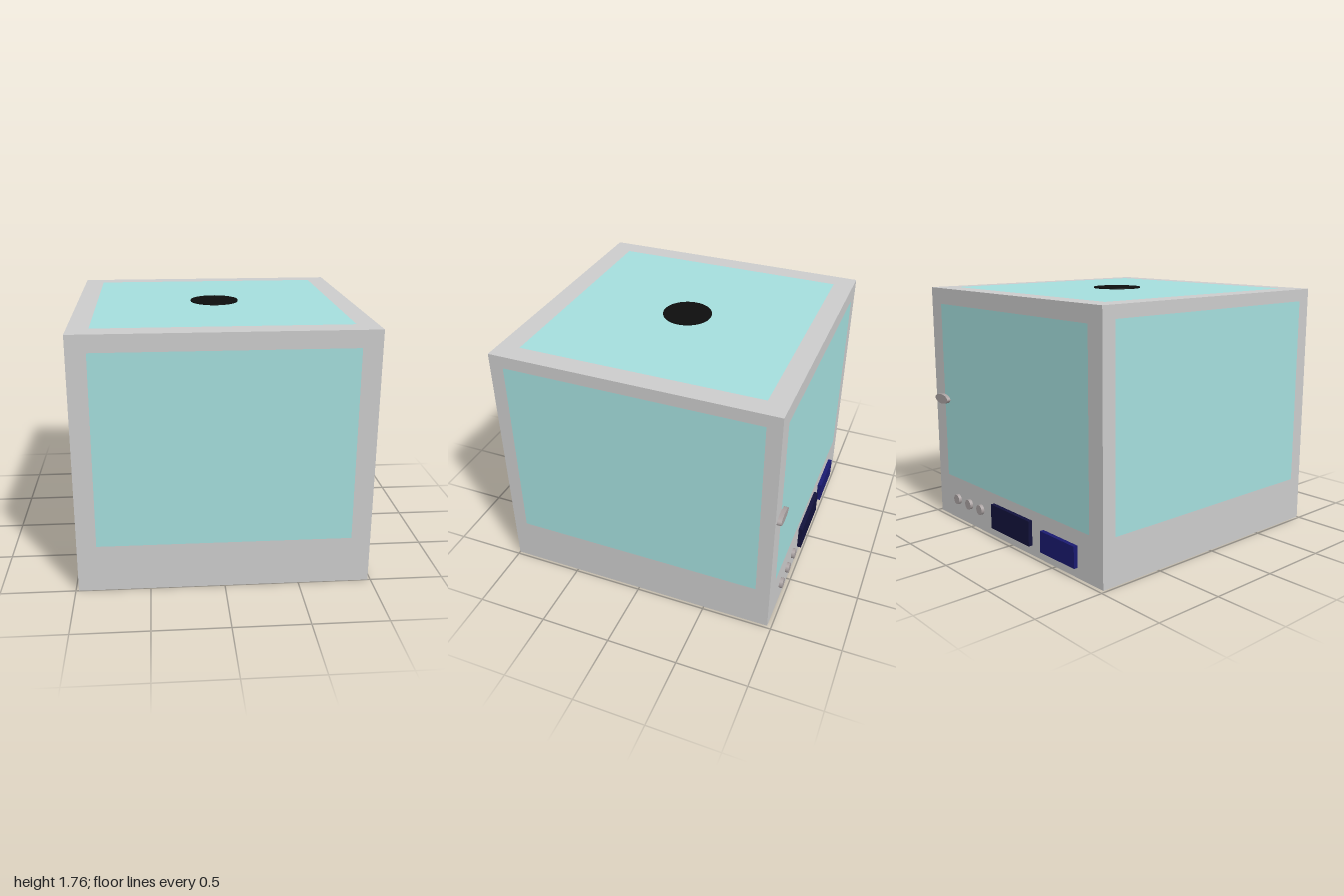
import * as THREE from 'three';

const W = 1.96, H = 1.75, BACK = -0.97, FRONT = 1.0;
const SKIN = 0.002; // how far the panes stand proud of the body

const mat = (color) => new THREE.MeshStandardMaterial({ color });

function add(parent, name, geometry, material, x, y, z) {
  const mesh = new THREE.Mesh(geometry, material);
  mesh.name = name;
  mesh.position.set(x, y, z);
  parent.add(mesh);
  return mesh;
}

export function createModel() {
  const model = new THREE.Group();
  model.name = 'glazedCabinet';
  const shell = mat(0xd8dcda), glass = mat(0xa4dedd), black = mat(0x0d0d0d);
  const navy = mat(0x12123c), blue = mat(0x1a1a70), metal = mat(0xaaa2a2);

  // Cabinet body
  add(model, 'body', new THREE.BoxGeometry(W, H, FRONT - BACK), shell, 0, H / 2, (FRONT + BACK) / 2);

  // Panes on the front, back, both sides and the top
  const wide = new THREE.PlaneGeometry(1.7, 1.31);
  const side = new THREE.PlaneGeometry(1.77, 1.34);
  add(model, 'frontWindow', wide, glass, 0, 0.98, FRONT + SKIN);
  add(model, 'backWindow', wide, glass, 0, 0.98, BACK - SKIN).rotation.y = Math.PI;
  for (const s of [1, -1]) {
    add(model, s > 0 ? 'leftWindow' : 'rightWindow', side, glass,
      s * (W / 2 + SKIN), 0.995, 0.015).rotation.y = s * Math.PI / 2;
  }
  add(model, 'topWindow', new THREE.PlaneGeometry(1.68, 1.68), glass,
    0, H + SKIN, 0.01).rotation.x = -Math.PI / 2;

  // Round port in the top
  add(model, 'topPort', new THREE.CylinderGeometry(0.17, 0.17, 0.01, 64), black, 0, H + 0.005, 0.01);

  // Controls on the back, all standing out by the same depth
  const depth = 0.03, z = BACK - depth / 2;
  add(model, 'display', new THREE.BoxGeometry(0.46, 0.18, depth), navy, -0.01, 0.16, z);
  add(model, 'smallDisplay', new THREE.BoxGeometry(0.36, 0.15, depth), blue, -0.55, 0.145, z);

  const disc = new THREE.CylinderGeometry(1, 1, depth, 40).rotateX(Math.PI / 2);
  for (const x of [0.39, 0.545, 0.705]) {
    add(model, 'knob', disc, metal, x, 0.16, z).scale.set(0.037, 0.037, 0.8);
  }
  // Oval door handle
  add(model, 'doorHandle', disc, metal, 0.863, 0.92, z).scale.set(0.087, 0.036, 1);

  return model;
}
